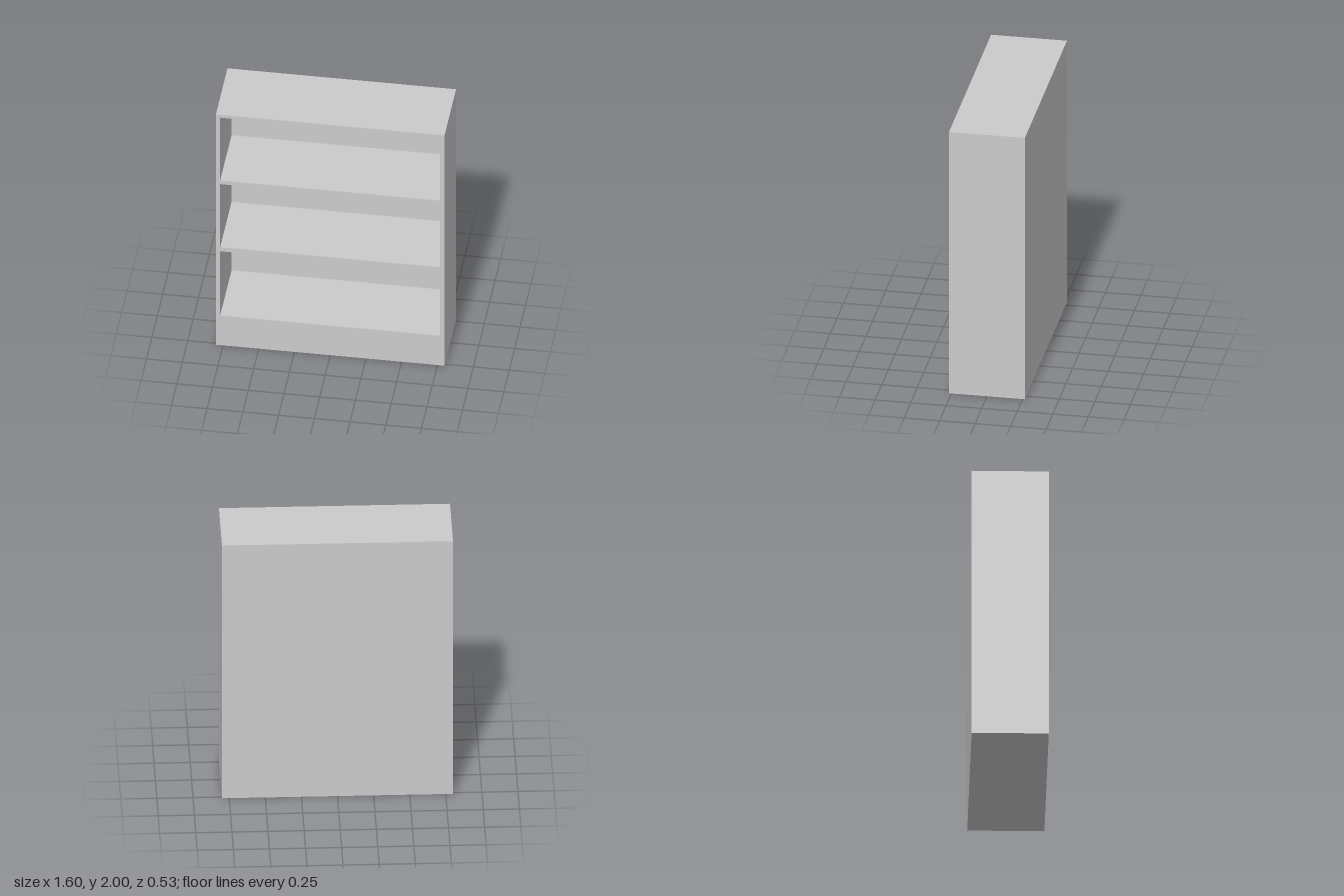
import * as THREE from 'three';

const W = 1.6, H = 2, D = 0.534;
const BACK = 0.01;        // back panel thickness
const INNER = 0.77;       // half width of the openings
const OPENINGS = [[0.257, 0.815], [0.851, 1.398], [1.43, 1.975]]; // bottom, top

// Rectangle outline, reused for the case and its openings
function rect(path, x, y0, y1) {
  path.moveTo(-x, y0);
  path.lineTo(x, y0);
  path.lineTo(x, y1);
  path.lineTo(-x, y1);
  path.closePath();
  return path;
}

export function createModel() {
  const group = new THREE.Group();
  group.name = 'bookcase';
  const material = new THREE.MeshStandardMaterial({ color: 0xcccccc });

  // Sides, top, shelves and plinth as one frame with three openings
  const outline = rect(new THREE.Shape(), W / 2, 0, H);
  for (const [y0, y1] of OPENINGS) outline.holes.push(rect(new THREE.Path(), INNER, y0, y1));
  const frame = new THREE.Mesh(
    new THREE.ExtrudeGeometry(outline, { depth: D - BACK, bevelEnabled: false }), material);
  frame.name = 'shelfFrame';
  frame.position.z = -D / 2 + BACK;
  group.add(frame);

  // Thin panel closing the back
  const back = new THREE.Mesh(new THREE.BoxGeometry(W, H, BACK), material);
  back.name = 'backPanel';
  back.position.set(0, H / 2, -D / 2 + BACK / 2);
  group.add(back);

  return group;
}
